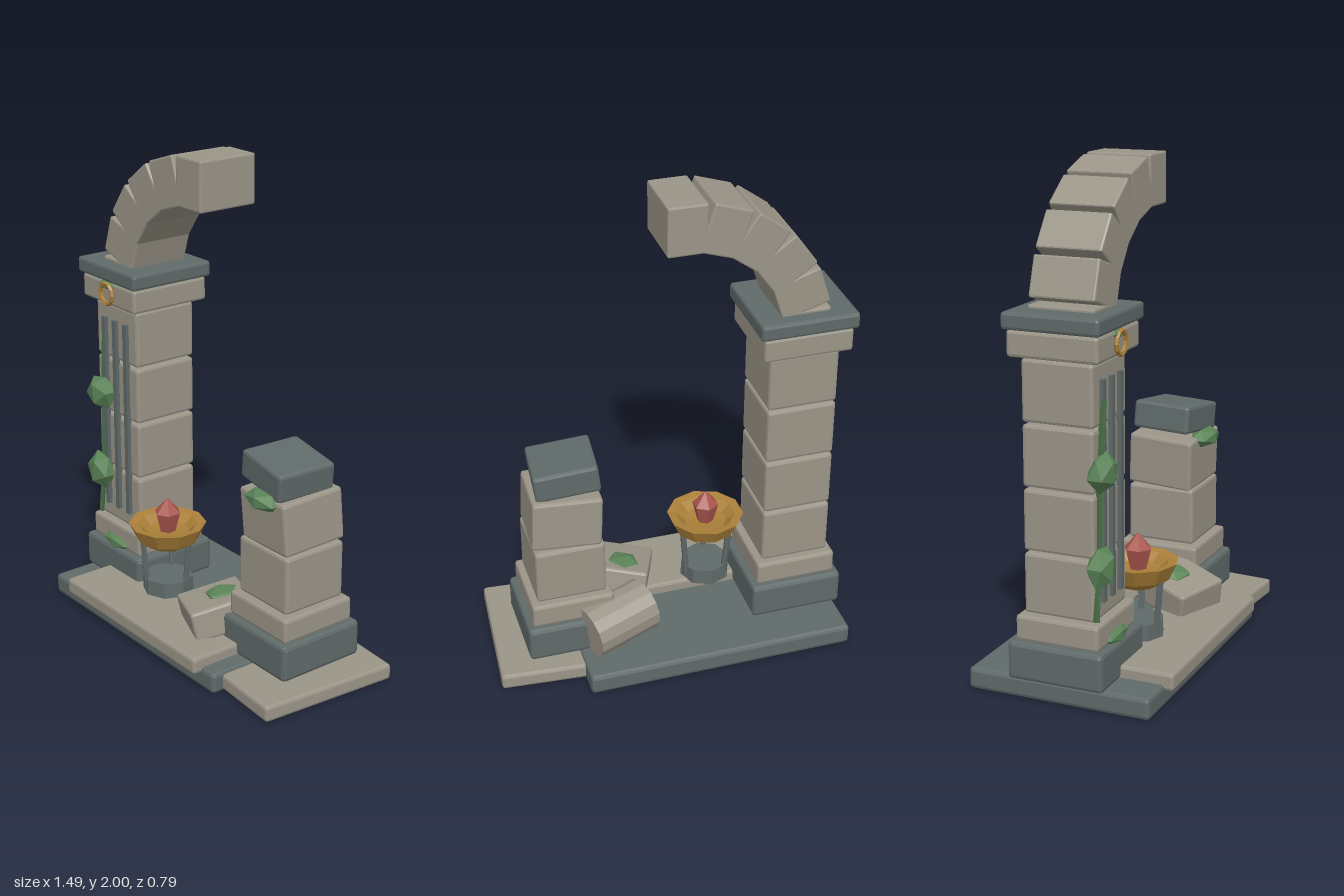
import * as THREE from 'three';
import { RoundedBoxGeometry } from 'three/addons/geometries/RoundedBoxGeometry.js';

const material = (name, color) => {
  const m = new THREE.MeshStandardMaterial({ color });
  m.name = name;
  return m;
};

export function createModel() {
  const root = new THREE.Group();
  root.name = 'ruinedArch';

  const stone = material('paleStone', 0x9b9588);
  const slate = material('darkSlate', 0x5f6a69);
  const leaf = material('leafGreen', 0x5b8457);
  const vine = material('vineGreen', 0x486c45);
  const gold = material('agedGold', 0xab8039);
  const ember = material('emberRed', 0xa9554d);

  // Every surface is faceted
  const add = (parent, name, geometry, mat, pos = [0, 0, 0], rot = [0, 0, 0]) => {
    const g = geometry.index ? geometry.toNonIndexed() : geometry;
    g.computeVertexNormals();
    const mesh = new THREE.Mesh(g, mat);
    mesh.name = name;
    mesh.position.set(...pos);
    mesh.rotation.set(rot[0], rot[1], rot[2], 'YXZ');
    parent.add(mesh);
    return mesh;
  };

  // Chamfered stone block
  const block = (parent, name, mat, size, pos, rot, bevel = 0.012) =>
    add(parent, name, new RoundedBoxGeometry(...size, 1, bevel), mat, pos, rot);

  // Faceted foliage clump
  const clump = (parent, name, size, pos, rot) => {
    const g = new THREE.IcosahedronGeometry(1, 0);
    g.scale(...size);
    return add(parent, name, g, leaf, pos, rot);
  };

  // Straight rod between two points
  const rod = (parent, name, mat, a, b, radius, sides) => {
    const from = new THREE.Vector3(...a), to = new THREE.Vector3(...b);
    const axis = to.clone().sub(from);
    const mesh = add(parent, name, new THREE.CylinderGeometry(radius, radius, axis.length(), sides), mat);
    mesh.position.copy(from).add(to).multiplyScalar(0.5);
    mesh.quaternion.setFromUnitVectors(new THREE.Vector3(0, 1, 0), axis.normalize());
    return mesh;
  };

  // Ground slabs
  block(root, 'mainSlab', slate, [1.12, 0.085, 0.75], [-0.16, 0.0425, -0.02], undefined, 0.015);
  block(root, 'sideSlab', stone, [0.5, 0.065, 0.6], [0.47, 0.04, 0.012], [0, -0.08, 0]);
  block(root, 'frontSlab', stone, [0.895, 0.068, 0.34], [-0.126, 0.097, 0.22]);

  // Tall pillar
  const tall = new THREE.Group();
  tall.name = 'tallPillar';
  tall.position.set(-0.547, 0, -0.02);
  root.add(tall);
  block(tall, 'plinth', slate, [0.39, 0.15, 0.39], [0, 0.155, 0], undefined, 0.016);
  block(tall, 'footing', stone, [0.34, 0.1, 0.34], [0, 0.28, 0]);
  for (let i = 0; i < 4; i++) {
    block(tall, 'shaftBlock', stone, [0.288, 0.237, 0.288], [0, 0.453 + i * 0.2455, 0]);
  }
  block(tall, 'capital', stone, [0.365, 0.1, 0.365], [0, 1.367, 0]);
  block(tall, 'capSlab', slate, [0.4, 0.066, 0.39], [0, 1.452, 0]);
  for (const x of [-0.075, 0, 0.075]) {
    add(tall, 'flute', new THREE.BoxGeometry(0.024, 0.845, 0.02), slate, [x, 0.822, 0.15]);
  }
  add(tall, 'hangingRing', new THREE.TorusGeometry(0.043, 0.01, 5, 12), gold, [0, 1.367, 0.19]);
  clump(tall, 'ringLeaf', [0.055, 0.02, 0.018], [-0.005, 1.402, 0.18]);

  // Broken arch: blocks stepped round a quarter circle
  const arch = new THREE.Group();
  arch.name = 'brokenArch';
  arch.position.set(-0.067, 1.42, -0.022);
  root.add(arch);
  for (let i = 0; i < 6; i++) {
    const a = (i * Math.PI) / 10;
    block(arch, 'archBlock', stone, [0.157, 0.2, 0.265],
      [-0.48 * Math.sin(a), 0.48 * Math.cos(a), 0], [0, 0, a], 0.007);
  }

  // Climbing vine with foliage
  const path = new THREE.CatmullRomCurve3([
    [-0.622, 1.17, 0.135], [-0.645, 0.92, 0.13], [-0.66, 0.56, 0.128], [-0.685, 0.34, 0.13],
  ].map((p) => new THREE.Vector3(...p)));
  add(root, 'vineStem', new THREE.TubeGeometry(path, 12, 0.013, 5), vine);
  clump(root, 'vineLeaves', [0.088, 0.078, 0.055], [-0.646, 0.905, 0.14], [0, 0, 0.2]);
  clump(root, 'vineLeaves', [0.08, 0.088, 0.055], [-0.66, 0.545, 0.14], [0, 0, -0.15]);
  clump(root, 'baseLeaves', [0.095, 0.034, 0.035], [-0.55, 0.247, 0.145]);

  // Broken short pillar
  const short = new THREE.Group();
  short.name = 'shortPillar';
  short.position.set(0.415, 0, -0.02);
  root.add(short);
  block(short, 'plinth', slate, [0.388, 0.15, 0.388], [0, 0.155, 0], undefined, 0.016);
  block(short, 'footing', stone, [0.34, 0.1, 0.34], [0, 0.28, 0]);
  block(short, 'shaftBlock', stone, [0.288, 0.237, 0.288], [0, 0.453, 0]);
  block(short, 'shiftedBlock', stone, [0.283, 0.215, 0.283], [0, 0.683, 0], [0.05, -0.05, 0.05]);
  block(short, 'brokenTop', slate, [0.262, 0.115, 0.255], [-0.015, 0.86, 0.012], [0.02, -0.1, -0.11]);
  clump(short, 'pillarLeaves', [0.1, 0.042, 0.06], [0, 0.772, 0.14]);

  // Fallen masonry
  block(root, 'fallenBlock', stone, [0.24, 0.13, 0.26], [0.13, 0.19, 0.126], [0.2, -0.38, 0.1]);
  clump(root, 'fallenBlockLeaves', [0.078, 0.028, 0.078], [0.138, 0.252, 0.1], [0.1, 0, 0]);
  rod(root, 'fallenDrum', stone, [0.1, 0.21, -0.138], [0.366, 0.18, -0.222], 0.11, 14);

  // Fire bowl on three legs
  const brazier = new THREE.Group();
  brazier.name = 'brazier';
  brazier.position.set(-0.238, 0, 0.1);
  root.add(brazier);
  add(brazier, 'brazierBase', new THREE.CylinderGeometry(0.105, 0.108, 0.068, 8), slate, [0, 0.162, 0]);
  for (const deg of [-15, 105, 225]) {
    const a = THREE.MathUtils.degToRad(deg), c = Math.cos(a), s = Math.sin(a);
    rod(brazier, 'brazierLeg', slate, [0.09 * c, 0.14, 0.09 * s], [0.112 * c, 0.375, 0.112 * s], 0.013, 6);
  }
  const bowl = [[0, 0.332], [0.08, 0.335], [0.13, 0.368], [0.162, 0.435], [0.125, 0.43], [0.09, 0.4], [0, 0.39]];
  add(brazier, 'bowl', new THREE.LatheGeometry(bowl.map((p) => new THREE.Vector2(...p)), 10), gold);
  const flame = [[0, 0.39], [0.035, 0.4], [0.056, 0.483], [0, 0.545]];
  add(brazier, 'flame', new THREE.LatheGeometry(flame.map((p) => new THREE.Vector2(...p)), 6), ember);

  return root;
}
